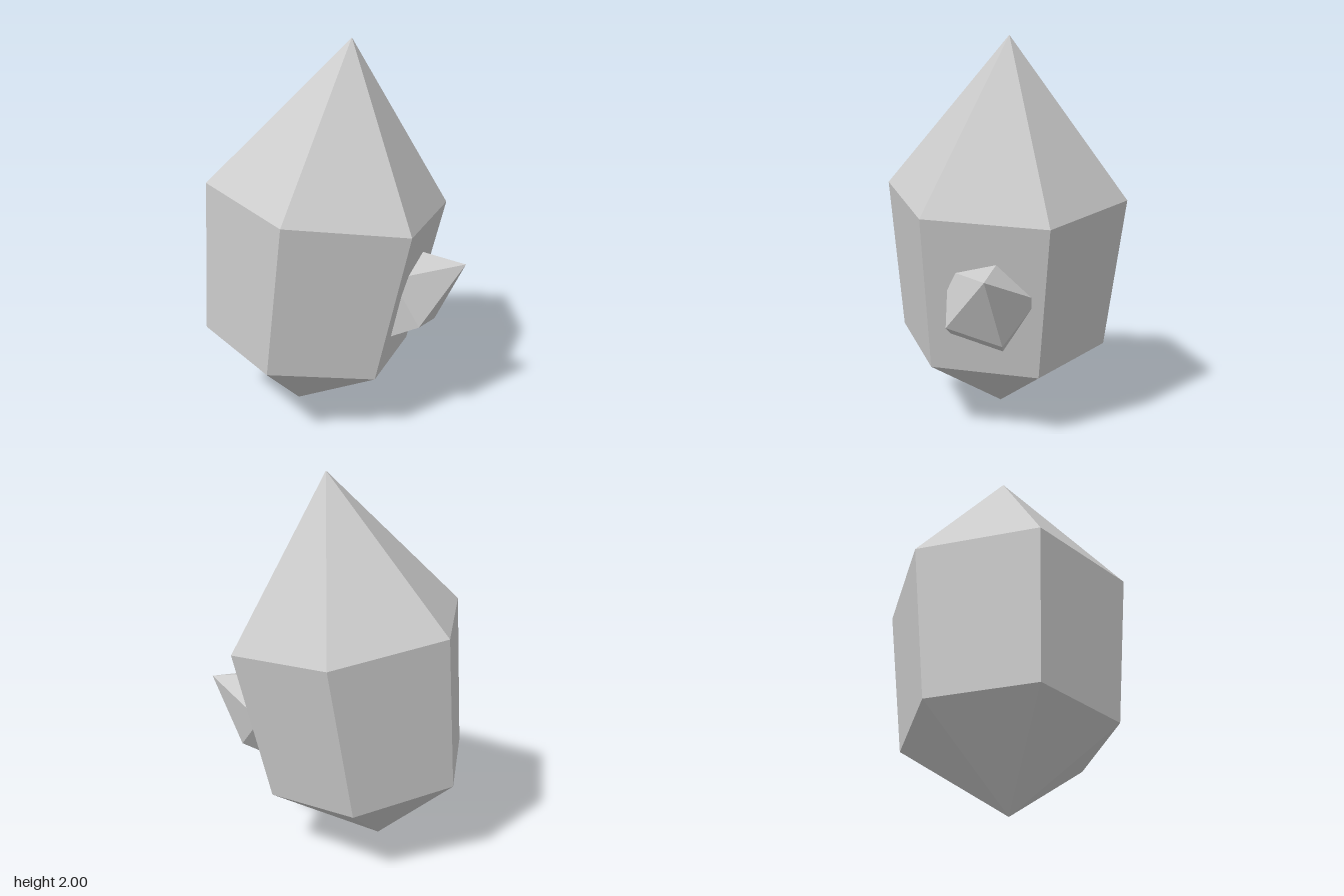
import * as THREE from 'three';

const rad = THREE.MathUtils.degToRad;

// Faceted crystal: [radius, height] profile turned around y with few sides
function crystal(name, profile, sides, start, material) {
  const points = profile.map(([r, y]) => new THREE.Vector2(r, y));
  const mesh = new THREE.Mesh(new THREE.LatheGeometry(points, sides, start), material);
  mesh.name = name;
  return mesh;
}

export function createModel() {
  const model = new THREE.Group();
  model.name = 'crystal';
  const stone = new THREE.MeshStandardMaterial({ color: 0xcccccc, flatShading: true });
  stone.name = 'pale grey stone';

  // Large six-sided crystal, leaning towards +x and standing on its lower point
  const main = crystal('mainCrystal',
    [[0, 0], [0.549, 0.409], [0.628, 1.217], [0, 2.02]], 6, rad(40), stone);
  main.position.set(-0.195, 0, 0);
  main.rotation.z = rad(-8);
  model.add(main);

  // Small five-sided crystal growing out of the right-hand face
  const shard = crystal('sideCrystal',
    [[0, -0.45], [0.22, -0.3], [0.245, 0], [0, 0.311]], 5, 0, stone);
  const axis = new THREE.Vector3(0.85, 0.49, 0.18).normalize();
  const corner = new THREE.Vector3(0.023, -0.128, 0.206); // direction of one corner
  const x = new THREE.Vector3().crossVectors(axis, corner).normalize();
  const z = new THREE.Vector3().crossVectors(x, axis);
  shard.quaternion.setFromRotationMatrix(new THREE.Matrix4().makeBasis(x, axis, z));
  shard.position.set(0.401, 0.749, 0.159);
  model.add(shard);

  return model;
}
